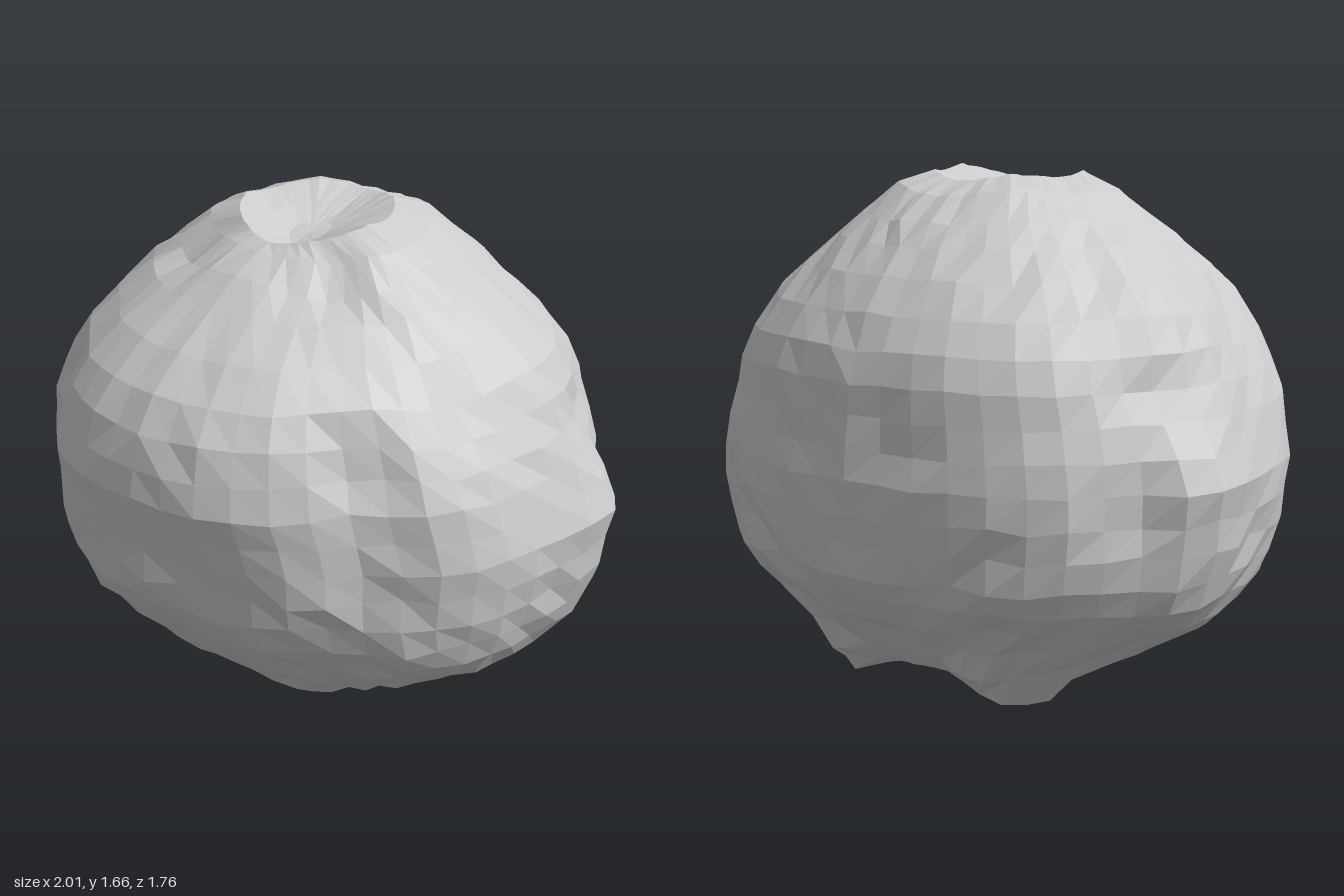
import * as THREE from 'three';

// Height rings from crown to base: [y, half width, front depth, back depth]
const RINGS = [
  [1.6, 0, 0, 0], [1.6, 0.06, 0.07, 0.08], [1.62, 0.14, 0.13, 0.18], [1.645, 0.25, 0.19, 0.3],
  [1.61, 0.37, 0.25, 0.42], [1.54, 0.47, 0.37, 0.53], [1.47, 0.56, 0.48, 0.6], [1.38, 0.67, 0.64, 0.68],
  [1.28, 0.78, 0.76, 0.76], [1.18, 0.85, 0.83, 0.82], [1.08, 0.9, 0.865, 0.85], [0.98, 0.94, 0.885, 0.855],
  [0.88, 0.97, 0.855, 0.865], [0.78, 1, 0.835, 0.875], [0.68, 0.99, 0.825, 0.87], [0.58, 0.965, 0.8, 0.86],
  [0.48, 0.945, 0.73, 0.85], [0.4, 0.9, 0.66, 0.82], [0.32, 0.83, 0.58, 0.75], [0.25, 0.75, 0.49, 0.68],
  [0.18, 0.62, 0.41, 0.62], [0.12, 0.5, 0.32, 0.56], [0.07, 0.37, 0.23, 0.42], [0.05, 0.22, 0.15, 0.25],
  [0.04, 0.09, 0.07, 0.1], [0.04, 0, 0, 0],
];

// Half outline seen from above, front to back: [x, z]
const PLAN = [
  [0, 0.88], [0.2, 0.86], [0.37, 0.8], [0.51, 0.71], [0.6, 0.6], [0.67, 0.51], [0.76, 0.46],
  [0.85, 0.37], [0.93, 0.2], [0.96, 0.03], [1, -0.26], [0.95, -0.4], [0.84, -0.52], [0.73, -0.66],
  [0.55, -0.78], [0.3, -0.85], [0, -0.88],
];

// Local lumps and hollows, mirrored in x: [x, y, z, radius, push x, push y, push z]
const LUMPS = [
  [0.36, 0.1, -0.36, 0.12, 0, -0.1, 0],         // feet under the back
  [0.3, 0.14, -0.52, 0.12, 0, -0.06, -0.05],    // heels
  [0.27, 1.55, 0.24, 0.12, 0, -0.05, -0.02],    // pockets before the crown
  [0.25, 1.64, 0.03, 0.12, 0, 0.03, 0],         // crown shoulders
  [0, 1.63, 0.14, 0.11, 0, -0.04, 0.02],        // open front of the crown dimple
  [0.2, 1.63, -0.27, 0.16, 0, 0.035, 0],        // crown ridge at the back
  [0, 1.5, 0.42, 0.14, 0, 0.02, 0],             // brow of the front bulge
  [0.75, 1.22, 0.16, 0.2, -0.03, -0.04, 0],     // step in front of the back dome
  [0.88, 1.05, -0.38, 0.16, -0.06, 0, 0],       // hollow above the side lobe
  [0.99, 0.8, -0.3, 0.14, 0.01, 0, -0.02],      // side lobe
  [0.85, 0.75, -0.52, 0.12, -0.04, 0, 0.02],    // hollow behind the side lobe
  [0.63, 1.1, 0.53, 0.12, -0.02, 0, -0.04],     // notch beside the front bulge
  [0.72, 0.4, 0.42, 0.14, 0.03, -0.02, 0.02],   // lower cheek
  [0.24, 0.16, 0.28, 0.1, 0, -0.02, 0.02],      // small knobs low at the front
  [0.28, 0.66, 0.76, 0.1, 0, 0, -0.03],         // shallow dents in the front
];

const HALF = 24, SEG = HALF * 2;

// Repeatable roughness in -1..1
function rough(i, j, k) {
  const s = Math.sin(i * 12.99 + j * 78.23 + k * 37.72) * 43758.55;
  return (s - Math.floor(s)) * 2 - 1;
}

function surfacePoint(i, j, outline) {
  const [y, w, f, b] = RINGS[i];
  const side = j <= HALF ? 1 : -1;
  const k = j <= HALF ? j : SEG - j;
  const angle = (Math.PI * k) / HALF;
  // The outline is lobed at the middle and rounder near the poles
  const lobed = THREE.MathUtils.clamp(1.5 * w - 0.5, 0, 1);
  const px = THREE.MathUtils.lerp(Math.sin(angle), outline[k].x, lobed);
  const pz = THREE.MathUtils.lerp(Math.cos(angle), outline[k].z / 0.88, lobed);
  const p = new THREE.Vector3(px * w, y, pz * (pz > 0 ? f : b));
  const start = p.clone();
  for (const [x, ly, z, r, dx, dy, dz] of LUMPS) {
    const d = start.distanceToSquared(new THREE.Vector3(x, ly, z));
    p.addScaledVector(new THREE.Vector3(dx, dy, dz), Math.exp(-d / (r * r)));
  }
  // Chipped, uneven facets, strongest low on the body
  const out = start.clone().sub(new THREE.Vector3(0, 0.82, 0)).normalize();
  const amount = (y < 0.75 ? 0.012 : 0.007) * Math.min(1, w * 1.5);
  p.addScaledVector(out, amount * rough(i, k, 1));
  p.y += amount * rough(i, k, 2);
  if (k === 0 || k === HALF) p.x = 0;
  p.x *= side;
  p.y = Math.max(0, p.y);
  return p;
}

function boulderGeometry() {
  const curve = new THREE.CatmullRomCurve3(PLAN.map(([x, z]) => new THREE.Vector3(x, 0, z)));
  const outline = curve.getSpacedPoints(HALF);
  const positions = [], index = [];
  for (let i = 0; i < RINGS.length; i++) {
    for (let j = 0; j < SEG; j++) positions.push(...surfacePoint(i, j, outline).toArray());
  }
  // Quads between rings, with diagonals mirrored across the middle
  for (let i = 0; i < RINGS.length - 1; i++) {
    for (let j = 0; j < SEG; j++) {
      const n = (j + 1) % SEG;
      const a = i * SEG + j, d = i * SEG + n, b = a + SEG, c = d + SEG;
      if (i === 0) index.push(a, b, c);
      else if (i === RINGS.length - 2) index.push(a, b, d);
      else if (j < HALF) index.push(a, b, c, a, c, d);
      else index.push(a, b, d, b, c, d);
    }
  }
  const geometry = new THREE.BufferGeometry();
  geometry.setAttribute('position', new THREE.Float32BufferAttribute(positions, 3));
  geometry.setIndex(index);
  const flat = geometry.toNonIndexed();
  flat.computeVertexNormals();
  return flat;
}

export function createModel() {
  const group = new THREE.Group();
  group.name = 'rock';
  const material = new THREE.MeshStandardMaterial({ color: 0xcccccc, flatShading: true });
  const boulder = new THREE.Mesh(boulderGeometry(), material);
  boulder.name = 'boulder';
  group.add(boulder);
  return group;
}
